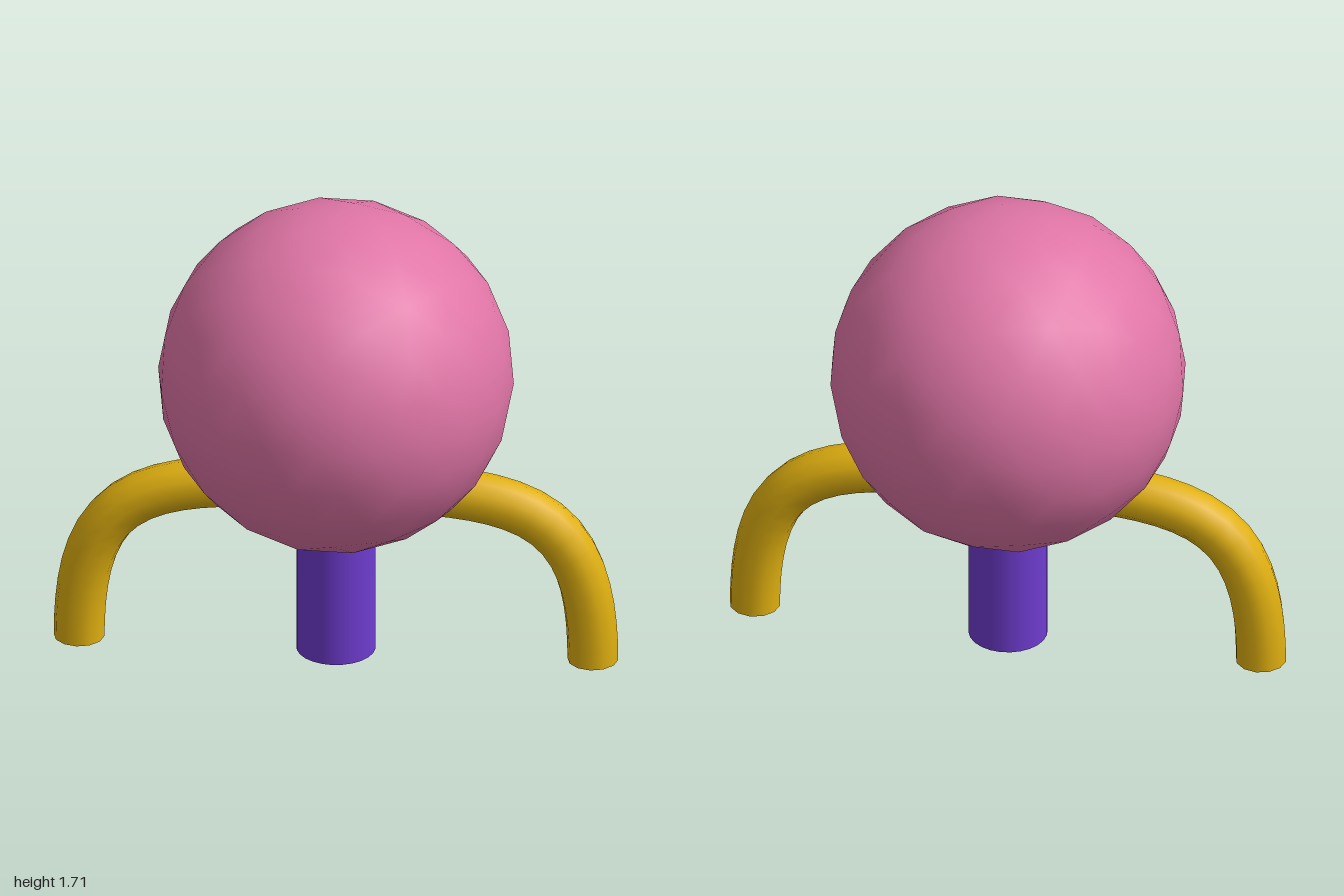
import * as THREE from 'three';

export function createModel() {
  const model = new THREE.Group();

  function add(name, geometry, color, side = THREE.FrontSide) {
    const mesh = new THREE.Mesh(geometry, new THREE.MeshStandardMaterial({ color, side }));
    mesh.name = name;
    model.add(mesh);
    return mesh;
  }

  // Icosphere body, turned so one of its corners points straight up
  const ball = new THREE.IcosahedronGeometry(0.63, 3);
  ball.rotateZ(-Math.atan(2 / (1 + Math.sqrt(5))));
  add('body', ball, 0xe075a6).position.y = 1.08;

  // Central post, its top buried in the body
  const postHeight = 0.6;
  const post = new THREE.CylinderGeometry(0.14, 0.14, postHeight, 24);
  add('post', post, 0x6f3cd0).position.y = postHeight / 2;

  // Curved, open-ended side legs
  for (const [name, s] of [['leftLeg', 1], ['rightLeg', -1]]) {
    const path = new THREE.CubicBezierCurve3(
      new THREE.Vector3(0.91 * s, 0, 0),
      new THREE.Vector3(0.91 * s, 0.56, 0),
      new THREE.Vector3(0.7 * s, 0.64, 0),
      new THREE.Vector3(0.2 * s, 0.645, 0)
    );
    add(name, new THREE.TubeGeometry(path, 16, 0.09, 12), 0xe0b010, THREE.DoubleSide);
  }

  return model;
}
